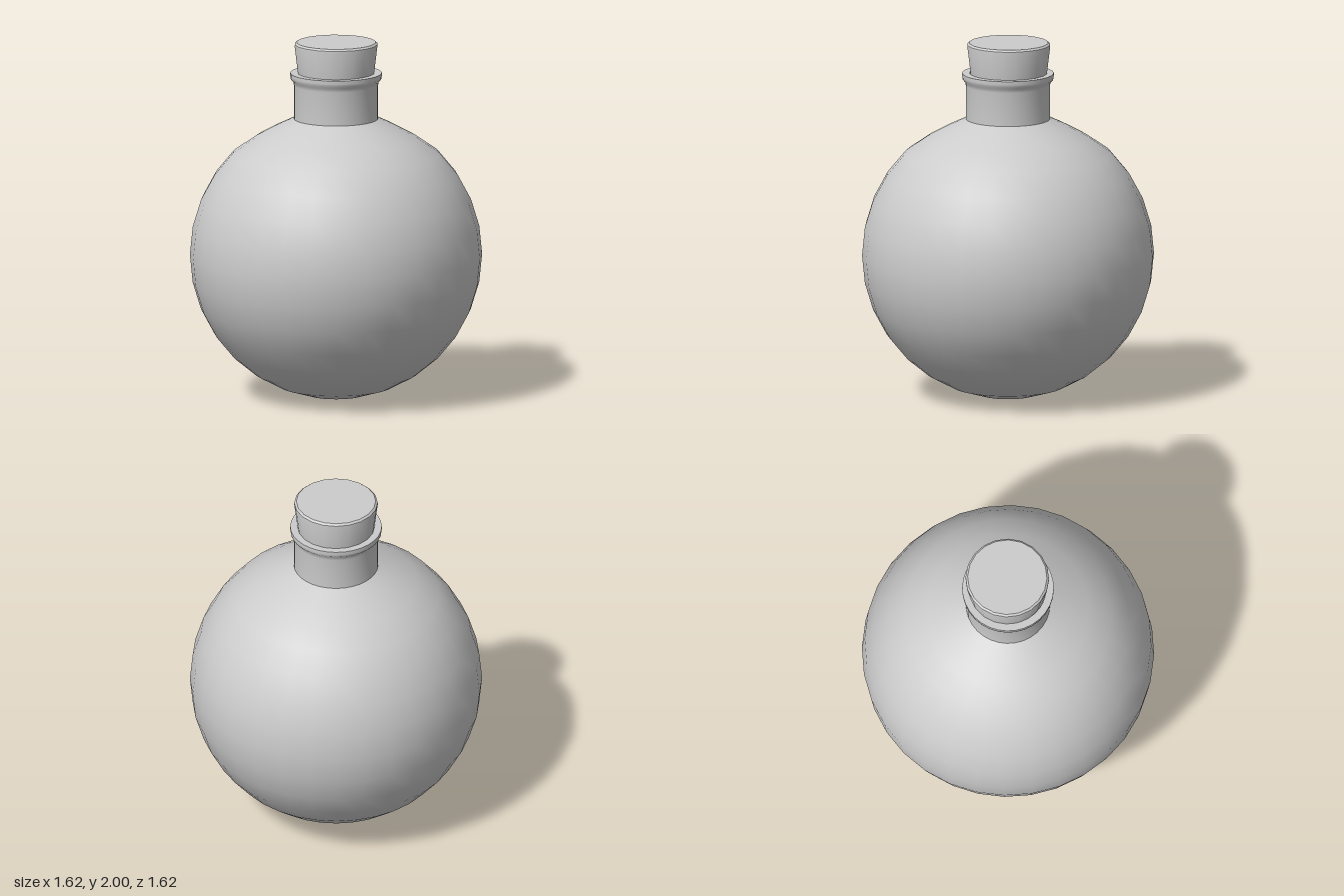
import * as THREE from 'three';
import { toCreasedNormals } from 'three/addons/utils/BufferGeometryUtils.js';

// Turned part from a bottom-to-top profile of [radius, height] pairs
function turned(name, profile, sides, crease) {
  const points = profile.map(([r, y]) => new THREE.Vector2(r, y));
  let geometry = new THREE.LatheGeometry(points, sides);
  if (crease) geometry = toCreasedNormals(geometry, crease);
  const material = new THREE.MeshStandardMaterial({ color: 0xcccccc, side: THREE.DoubleSide });
  const mesh = new THREE.Mesh(geometry, material);
  mesh.name = name;
  return mesh;
}

export function createModel() {
  const flask = new THREE.Group();
  flask.name = 'roundFlask';

  // Spherical bulb, easing into a straighter shoulder below the neck
  const radius = 0.81;
  const bulb = [];
  for (let i = 0; i <= 12; i++) {
    const a = (i / 16) * Math.PI;
    bulb.push([radius * Math.sin(a), 0.805 - 0.805 * Math.cos(a)]);
  }
  bulb.push([0.45, 1.46], [0.33, 1.525], [0.225, 1.575]);
  flask.add(turned('bulb', bulb, 32));

  // Neck with a flared lip and a hollow mouth
  flask.add(turned('neck', [
    [0.234, 1.55], [0.234, 1.76], [0.238, 1.78], [0.252, 1.795],
    [0.254, 1.81], [0.254, 1.828], [0.212, 1.828], [0.206, 1.7], [0.206, 1.55],
  ], 32, 0.7));

  // Tapered stopper with a small bevel on top
  const stopper = turned('stopper', [
    [0, 1.66], [0.194, 1.66], [0.214, 1.83], [0.232, 1.98],
    [0.231, 1.99], [0.22, 2], [0, 2],
  ], 20, 0.7);
  stopper.position.z = -0.004;
  flask.add(stopper);

  return flask;
}
